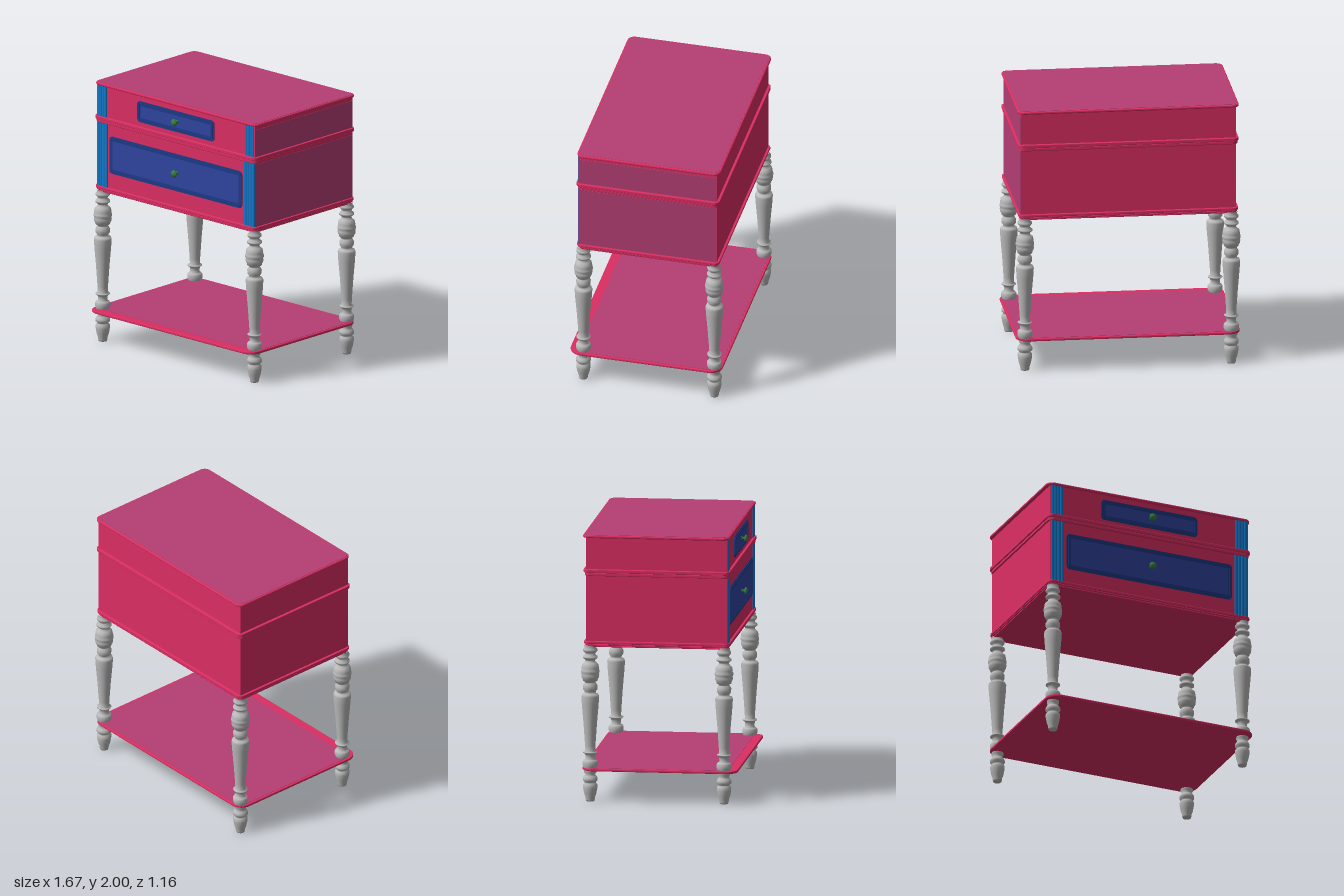
import * as THREE from 'three';

const mat = (name, color) => {
  const m = new THREE.MeshStandardMaterial({ color });
  m.name = name;
  return m;
};

// Rounded rectangle outline centred on the origin
function roundedRect(w, d, r, Type = THREE.Shape) {
  const s = new Type();
  const x = w / 2, y = d / 2;
  s.moveTo(-x + r, -y);
  s.lineTo(x - r, -y); s.absarc(x - r, -y + r, r, -Math.PI / 2, 0);
  s.lineTo(x, y - r); s.absarc(x - r, y - r, r, 0, Math.PI / 2);
  s.lineTo(-x + r, y); s.absarc(-x + r, y - r, r, Math.PI / 2, Math.PI);
  s.lineTo(-x, -y + r); s.absarc(-x + r, -y + r, r, Math.PI, Math.PI * 1.5);
  return s;
}

export function createModel() {
  const model = new THREE.Group();
  model.name = 'sideTable';

  const crimson = mat('crimson', 0xdc2e63);
  const magenta = mat('magenta', 0xb53e74);
  const panelBlue = mat('panel blue', 0x3044a0);
  const navy = mat('navy', 0x1c3a86);
  const sky = mat('sky blue', 0x1278c8);
  const grey = mat('grey', 0xbababa);
  const green = mat('green', 0x35803a);

  const add = (name, geo, material, x = 0, y = 0, z = 0, parent = model) => {
    const m = new THREE.Mesh(geo, material);
    m.name = name;
    m.position.set(x, y, z);
    parent.add(m);
    return m;
  };
  const box = (name, material, x0, x1, y0, y1, z0, z1) =>
    add(name, new THREE.BoxGeometry(x1 - x0, y1 - y0, z1 - z0), material,
      (x0 + x1) / 2, (y0 + y1) / 2, (z0 + z1) / 2);

  // Horizontal board with rounded corners and softened edges
  const slab = (name, material, w, d, r, y0, y1, z, bevel) => {
    const geo = new THREE.ExtrudeGeometry(roundedRect(w - 2 * bevel, d - 2 * bevel, r), {
      depth: y1 - y0 - 2 * bevel, bevelEnabled: bevel > 0, bevelSize: bevel,
      bevelThickness: bevel, bevelSegments: 3, curveSegments: 8,
    });
    geo.rotateX(-Math.PI / 2);
    return add(name, geo, material, 0, y0 + bevel, z);
  };

  // Cabinet bodies
  const cz = -0.015, front = 0.51, back = -0.54;
  box('lowerBody', crimson, -0.8, 0.8, 1.18, 1.71, back, front);
  box('upperBody', crimson, -0.8, 0.8, 1.71, 1.99, back, front);
  box('lowerSidePanel', magenta, 0.799, 0.803, 1.2, 1.685, back + 0.003, front - 0.003);
  box('upperSidePanel', magenta, 0.799, 0.803, 1.74, 1.95, back + 0.003, front - 0.003);

  // Top board and mouldings
  slab('topBoard', crimson, 1.645, 1.09, 0.045, 1.977, 1.998, cz - 0.005, 0.008);
  slab('topPanel', magenta, 1.62, 1.065, 0.04, 1.995, 2.0, cz - 0.005, 0);
  for (const [y0, y1, w, d] of [
    [1.692, 1.716, 1.625, 1.075], [1.716, 1.742, 1.64, 1.09],
    [1.16, 1.172, 1.61, 1.06], [1.172, 1.184, 1.625, 1.075], [1.184, 1.204, 1.635, 1.085],
  ]) slab('moulding', crimson, w, d, 0.035, y0, y1, cz, 0.005);

  // Lower shelf
  slab('shelf', crimson, 1.665, 1.155, 0.085, 0.232, 0.252, 0.005, 0.006);
  slab('shelfPanel', magenta, 1.63, 1.07, 0.07, 0.25, 0.254, -0.02, 0);

  // Drawer fronts: stepped frame, inset panel and turned knob
  const knobProfile = [[0, 0], [0.016, 0], [0.012, 0.006], [0.009, 0.014], [0.01, 0.022],
    [0.022, 0.027], [0.028, 0.034], [0.024, 0.042], [0.012, 0.048], [0, 0.05]]
    .map(([r, y]) => new THREE.Vector2(r, y));
  const drawer = (name, w, h, y) => {
    const g = new THREE.Group();
    g.name = name;
    g.position.set(0, y, front);
    model.add(g);
    const ring = (inset, width, depth, r) => {
      const s = roundedRect(w - 2 * inset, h - 2 * inset, r);
      s.holes.push(roundedRect(w - 2 * (inset + width), h - 2 * (inset + width), r * 0.5, THREE.Path));
      add('drawerFrame', new THREE.ExtrudeGeometry(s, { depth, bevelEnabled: false, curveSegments: 4 }),
        navy, 0, 0, 0, g);
    };
    ring(0, 0.012, 0.005, 0.03);
    ring(0.012, 0.012, 0.009, 0.02);
    ring(0.024, 0.01, 0.006, 0.012);
    add('drawerPanel', new THREE.BoxGeometry(w - 0.066, h - 0.066, 0.006), panelBlue, 0, 0, 0.002, g);
    add('knob', new THREE.LatheGeometry(knobProfile, 16), green, 0.015, 0, 0.003, g).rotation.x = Math.PI / 2;
  };
  drawer('upperDrawer', 0.78, 0.16, 1.856);
  drawer('lowerDrawer', 1.34, 0.285, 1.462);

  // Fluted corner strips
  for (const side of [-1, 1]) {
    for (const [x, w, y0, y1] of [[0.745, 0.09, 1.742, 1.978], [0.743, 0.106, 1.204, 1.692]]) {
      const h = y1 - y0, y = (y0 + y1) / 2;
      add('cornerStrip', new THREE.BoxGeometry(w, h, 0.006), sky, side * x, y, front);
      for (let i = 0; i < 4; i++) {
        const reed = new THREE.CylinderGeometry(w / 8, w / 8, h, 10, 1, false, -Math.PI / 2, Math.PI);
        reed.scale(1, 1, 0.5);
        add('reed', reed, sky, side * x + (i - 1.5) * w / 4, y, front + 0.003);
      }
    }
  }

  // Turned legs
  const legProfile = [[0, 0], [0.03, 0], [0.034, 0.012], [0.036, 0.03], [0.046, 0.06], [0.053, 0.1],
    [0.053, 0.125], [0.042, 0.135], [0.042, 0.143], [0.055, 0.155], [0.055, 0.172], [0.046, 0.188],
    [0.035, 0.2], [0.045, 0.215], [0.045, 0.235], [0.05, 0.255], [0.056, 0.27], [0.056, 0.295],
    [0.048, 0.307], [0.034, 0.315], [0.036, 0.34], [0.04, 0.355], [0.053, 0.362], [0.053, 0.369],
    [0.037, 0.376], [0.039, 0.42], [0.05, 0.58], [0.062, 0.72], [0.066, 0.785], [0.06, 0.802],
    [0.04, 0.808], [0.042, 0.822], [0.053, 0.838], [0.054, 0.865], [0.042, 0.885], [0.038, 0.892],
    [0.054, 0.902], [0.058, 0.92], [0.064, 0.925], [0.067, 0.945], [0.062, 0.955], [0.069, 0.965],
    [0.069, 0.98], [0.063, 0.987], [0.065, 1.0], [0.06, 1.025], [0.046, 1.036], [0.036, 1.05],
    [0.038, 1.06], [0.055, 1.072], [0.055, 1.084], [0.036, 1.1], [0.042, 1.115], [0.053, 1.125],
    [0.053, 1.138], [0.042, 1.15], [0.046, 1.17]].map(([r, y]) => new THREE.Vector2(r, y));
  const legGeo = new THREE.LatheGeometry(legProfile, 28);
  for (const x of [-0.767, 0.767])
    for (const z of [0.482, -0.513]) add(z > 0 ? 'frontLeg' : 'backLeg', legGeo, grey, x, 0, z);

  return model;
}
